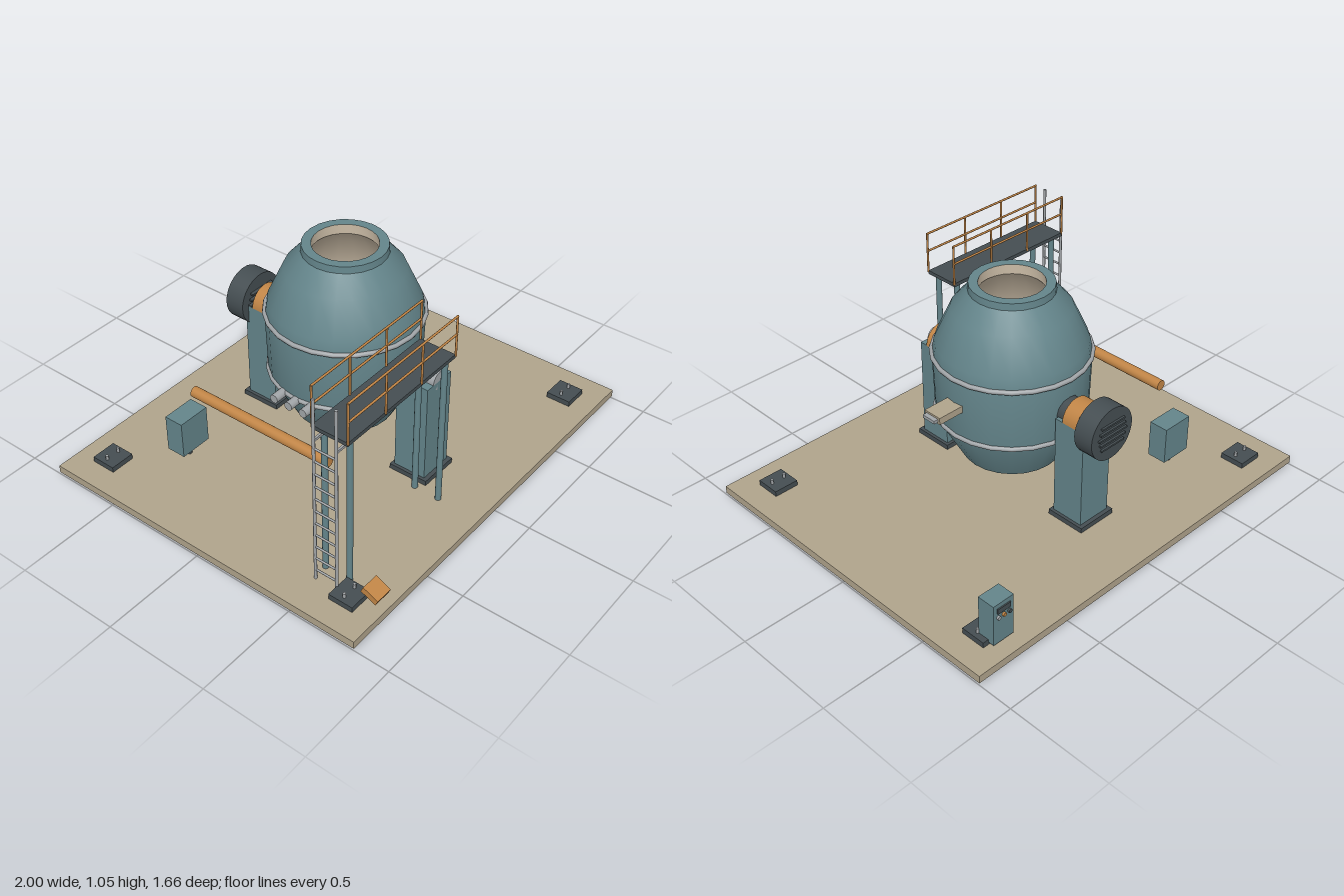
import * as THREE from 'three';
import { toCreasedNormals } from 'three/addons/utils/BufferGeometryUtils.js';

const mat = (name, color) => {
  const m = new THREE.MeshStandardMaterial({ color });
  m.name = name;
  return m;
};

export function createModel() {
  const teal = mat('teal paint', 0x64858b);
  const tan = mat('tan concrete', 0xb0a48c);
  const dark = mat('dark steel', 0x454e52);
  const orange = mat('orange paint', 0xc18546);
  const steel = mat('light steel', 0xa2a6a9);
  const lining = mat('refractory lining', 0xcdbea8);

  const model = new THREE.Group();
  model.name = 'converterVessel';

  const add = (name, geo, material, x = 0, y = 0, z = 0) => {
    const m = new THREE.Mesh(geo, material);
    m.name = name;
    m.position.set(x, y, z);
    model.add(m);
    return m;
  };
  // box given by its limits on each axis
  const box = (name, material, [x0, x1], [y0, y1], [z0, z1]) =>
    add(name, new THREE.BoxGeometry(x1 - x0, y1 - y0, z1 - z0), material,
      (x0 + x1) / 2, (y0 + y1) / 2, (z0 + z1) / 2);
  // cylinder along one axis, centred on x, y, z
  const rod = (name, material, axis, r, len, x, y, z, sides = 24) => {
    const g = new THREE.CylinderGeometry(r, r, len, sides);
    if (axis === 'z') g.rotateX(Math.PI / 2);
    if (axis === 'x') g.rotateZ(Math.PI / 2);
    return add(name, g, material, x, y, z);
  };
  const lathe = (name, pts, material) => add(name, toCreasedNormals(
    new THREE.LatheGeometry(pts.map(p => new THREE.Vector2(...p)), 24), 0.45), material);

  // floor slab with small fixings underneath
  box('floorSlab', tan, [-1, 1], [0.01, 0.047], [-0.83, 0.83]);
  rod('floorFixing', dark, 'y', 0.006, 0.012, 0, 0.006, 0, 8);
  box('floorFixing', dark, [0.2, 0.24], [0.004, 0.012], [-0.004, 0.004]);
  box('floorFixing', dark, [-0.004, 0.004], [0.004, 0.012], [-0.24, -0.2]);

  // vessel shell, lining and bands
  lathe('vesselShell', [[0, 0.205], [0.23, 0.205], [0.335, 0.4], [0.342, 0.44], [0.35, 0.7],
    [0.338, 0.77], [0.265, 0.93], [0.19, 1.015], [0.187, 1.047], [0.145, 1.047]], teal);
  lathe('vesselLining', [[0.145, 1.047], [0.147, 1.0], [0.22, 0.92], [0.3, 0.76], [0.31, 0.7],
    [0.3, 0.43], [0.2, 0.25], [0, 0.25]], lining);
  for (const [r, y] of [[0.35, 0.717], [0.341, 0.422]]) {
    const band = add('vesselBand', new THREE.TorusGeometry(r, 0.011, 8, 24), steel, 0, y);
    band.rotation.x = Math.PI / 2;
  }
  box('bottomPlug', steel, [-0.035, 0.035], [0.25, 0.258], [-0.035, 0.035]);
  box('slideGate', steel, [-0.035, 0.035], [0.086, 0.103], [-0.035, 0.035]);

  // tapping spout on the left side
  box('spout', tan, [0.33, 0.47], [0.565, 0.598], [-0.046, 0.046]);
  box('spoutTip', steel, [0.47, 0.492], [0.574, 0.589], [-0.035, 0.035]);

  // blowing pipes on the right side
  for (const z of [-0.08, 0, 0.08]) rod('blowPipe', steel, 'x', 0.021, 0.1, -0.345, 0.417, z, 12);

  // pedestals, trunnions and bearing caps, front and back
  const half = new THREE.Shape();
  half.absarc(0, 0, 0.087, 0, Math.PI, false);
  half.absarc(0, 0, 0.044, Math.PI, 0, true);
  const capGeo = toCreasedNormals(
    new THREE.ExtrudeGeometry(half, { depth: 0.078, bevelEnabled: false, curveSegments: 12 }), 0.5);
  for (const s of [1, -1]) {
    const zs = (a, b) => (s > 0 ? [a, b] : [-b, -a]);
    box('pedestalFoot', dark, [-0.1, 0.1], [0.045, 0.071], zs(0.33, 0.525));
    box('pedestal', teal, [-0.085, 0.085], [0.071, 0.557], zs(0.345, 0.505));
    add('bearingCap', capGeo, orange, 0, 0.557, s > 0 ? 0.386 : -0.464);
    rod('trunnion', steel, 'z', 0.044, 0.2, 0, 0.56, s * 0.405);
    rod('trunnionCollar', dark, 'z', 0.068, 0.06, 0, 0.56, s * 0.349, 12);
  }

  // tilt drive with cooling slats
  rod('tiltDrive', dark, 'z', 0.125, 0.097, 0, 0.56, -0.5385, 32);
  for (let i = -2; i <= 2; i++) {
    const w = 0.085 - Math.abs(i) * 0.008;
    box('driveSlat', dark, [-w, w], [0.556 + i * 0.027, 0.564 + i * 0.027], [-0.597, -0.473]);
  }

  // platform deck, legs and railings
  box('platformDeck', dark, [-0.79, -0.09], [0.792, 0.81], [0.46, 0.635]);
  for (const x of [-0.75, -0.132])
    for (const z of [0.49, 0.614]) rod('platformLeg', teal, 'y', 0.014, 0.75, x, 0.42, z, 12);
  for (const z of [0.462, 0.636]) {
    for (let i = 0; i < 4; i++)
      rod('railPost', orange, 'y', 0.005, 0.195, -0.79 + i * 0.2333, 0.9, z, 8);
    for (const y of [0.91, 0.998]) rod('handRail', orange, 'x', 0.005, 0.705, -0.44, y, z, 8);
  }

  // ladder beside the platform
  for (const z of [0.498, 0.608]) {
    rod('ladderRail', steel, 'y', 0.007, 0.928, -0.825, 0.511, z, 8);
    box('ladderBracket', steel, [-0.825, -0.77], [0.77, 0.782], [z - 0.005, z + 0.005]);
  }
  for (let i = 0; i < 11; i++)
    rod('ladderRung', steel, 'z', 0.005, 0.11, -0.825, 0.097 + i * 0.064, 0.553, 8);

  // corner pads with bolts
  for (const x of [-0.823, 0.823])
    for (const z of [-0.67, 0.67]) {
      box('cornerPad', dark, [x - 0.06, x + 0.06], [0.046, 0.073], [z - 0.06, z + 0.06]);
      for (const d of [-0.033, 0.033]) rod('padBolt', steel, 'y', 0.007, 0.03, x + d, 0.08, z, 8);
    }

  // tilted box next to the ladder
  const tilted = box('tiltedBox', orange, [-0.845, -0.76], [0.127, 0.157], [0.745, 0.825]);
  tilted.rotation.x = 0.42;

  // control console with buttons on the back
  box('console', teal, [0.745, 0.855], [0.06, 0.262], [-0.76, -0.675]);
  box('consoleDisplay', dark, [0.765, 0.835], [0.215, 0.24], [-0.766, -0.758]);
  for (const [x, m] of [[0.77, dark], [0.8, orange], [0.83, steel]])
    rod('consoleButton', m, 'z', 0.009, 0.012, x, 0.195, -0.764, 12);

  // valve cabinet on a short post
  box('cabinet', teal, [-0.652, -0.492], [0.095, 0.276], [-0.49, -0.395]);
  rod('cabinetPost', dark, 'y', 0.014, 0.06, -0.575, 0.07, -0.44, 12);

  // supply pipe
  rod('supplyPipe', orange, 'z', 0.025, 0.747, -0.575, 0.427, -0.002, 20);

  return model;
}
